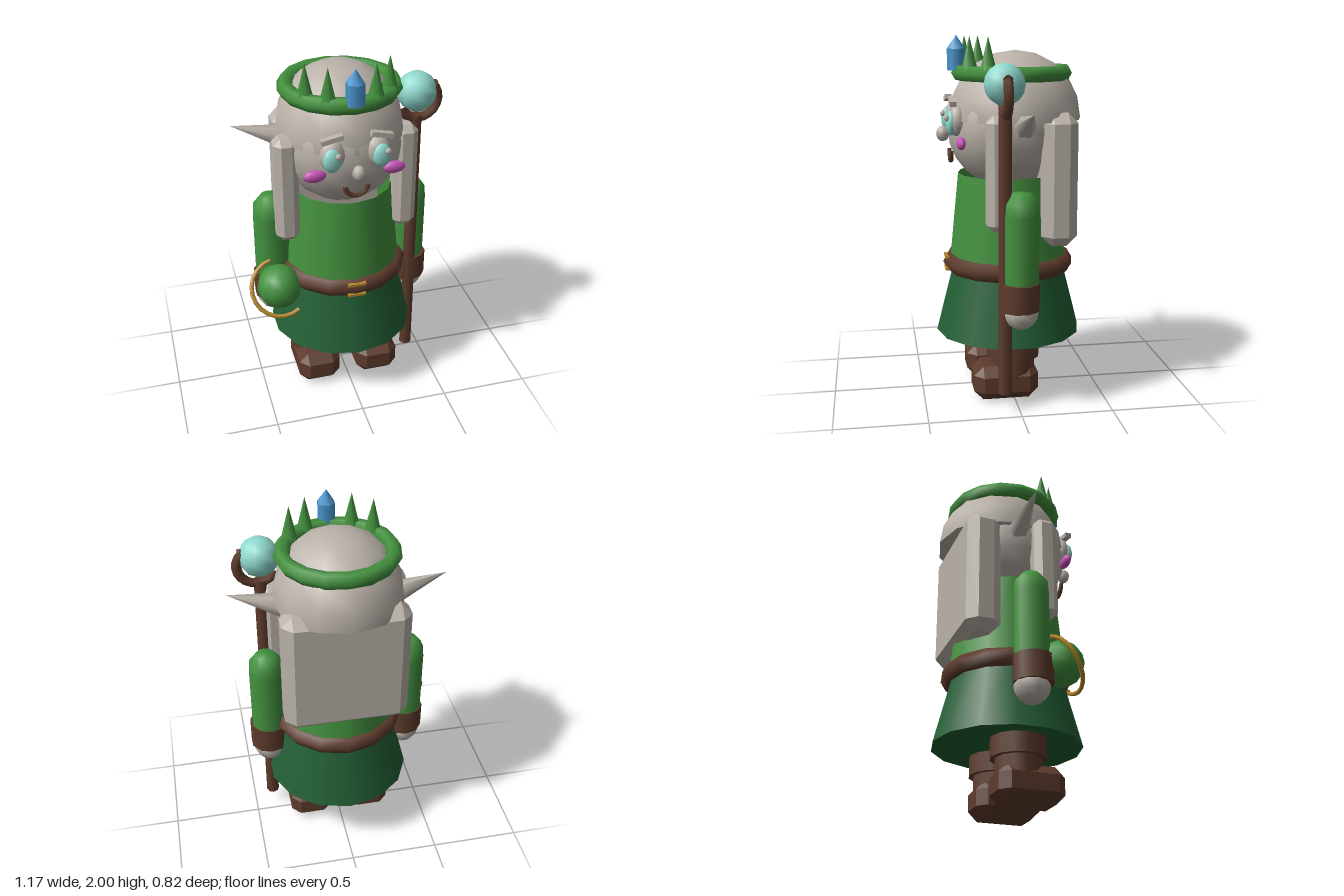
import * as THREE from 'three';
import { ConvexGeometry } from 'three/addons/geometries/ConvexGeometry.js';

const mat = (name, color, side = THREE.FrontSide) => {
  const m = new THREE.MeshStandardMaterial({ color, side });
  m.name = name;
  return m;
};

// box with every edge cut off flat
function chamferBox(w, h, d, c) {
  const pts = [];
  for (const x of [-w / 2, w / 2]) for (const y of [-h / 2, h / 2]) for (const z of [-d / 2, d / 2]) {
    const ix = x - Math.sign(x) * c, iy = y - Math.sign(y) * c, iz = z - Math.sign(z) * c;
    pts.push(new THREE.Vector3(x, iy, iz), new THREE.Vector3(ix, y, iz), new THREE.Vector3(ix, iy, z));
  }
  return new ConvexGeometry(pts);
}

// horizontal ring that has a vertex at +z
function ring(R, r, sides, segments) {
  const g = new THREE.TorusGeometry(R, r, sides, segments);
  return g.rotateX(Math.PI / 2).rotateY(-Math.PI / 2);
}

export function createModel() {
  const root = new THREE.Group();
  root.name = 'forestElf';

  const leaf = mat('leafGreen', 0x44923f, THREE.DoubleSide);
  const forest = mat('forestGreen', 0x235f35);
  const brown = mat('leatherBrown', 0x5e3b2c);
  const pale = mat('paleGrey', 0xbbb3aa);
  const aqua = mat('aqua', 0x8fd8ce);
  const pink = mat('cheekPink', 0xc854b8);
  const blue = mat('gemBlue', 0x4a96cf);
  const gold = mat('gold', 0xb98a2c);

  const add = (name, geo, material, x = 0, y = 0, z = 0) => {
    const m = new THREE.Mesh(geo, material);
    m.name = name;
    m.position.set(x, y, z);
    root.add(m);
    return m;
  };
  const ball = (name, material, x, y, z, rx, ry = rx, rz = rx, seg = 12, rows = 8) => {
    const m = add(name, new THREE.SphereGeometry(1, seg, rows), material, x, y, z);
    m.scale.set(rx, ry, rz);
    return m;
  };

  // Robe and belt
  add('skirt', new THREE.CylinderGeometry(0.305, 0.41, 0.41, 14), forest, 0, 0.55, 0);
  add('tunic', new THREE.CylinderGeometry(0.28, 0.33, 0.5, 14, 1, true), leaf, 0, 1.0, 0);
  add('belt', ring(0.315, 0.055, 6, 14), brown, 0, 0.745, 0);
  for (const y of [0.776, 0.71]) add('buckle', new THREE.BoxGeometry(0.1, 0.014, 0.03), gold, 0, y, 0.345);

  // Head, hair cap and long hair
  ball('head', pale, 0, 1.5, 0, 0.335, 0.335, 0.335, 16, 12);
  const cap = new THREE.SphereGeometry(0.37, 12, 5, 0, Math.PI * 2, 0, Math.PI / 2);
  add('hairCap', cap, pale, 0, 1.55, -0.04).scale.x = 0.96;
  const capBase = new THREE.CircleGeometry(0.37, 12).rotateX(Math.PI / 2);
  add('hairCapBase', capBase, pale, 0, 1.55, -0.04).scale.x = 0.96;
  add('backHair', chamferBox(0.68, 0.72, 0.195, 0.055), pale, 0, 1.24, -0.237);

  // Nose and smile
  ball('nose', pale, 0, 1.47, 0.362, 0.036, 0.043, 0.038, 7, 6);
  const smile = new THREE.TorusGeometry(0.062, 0.013, 6, 10, Math.PI).rotateZ(Math.PI);
  add('mouth', smile, brown, 0, 1.382, 0.32);

  // Parts that come in pairs
  const sleeve = [[0.0975, 0.7], [0.0975, 1.08], [0.092, 1.15], [0.053, 1.2], [0, 1.205]]
    .map(([x, y]) => new THREE.Vector2(x, y));
  for (const s of [-1, 1]) {
    add('hairStrand', chamferBox(0.13, 0.61, 0.135, 0.036), pale, s * 0.328, 1.29, 0.098);

    const ear = new THREE.ConeGeometry(0.065, 0.3, 6);
    add('ear', ear, pale, s * 0.443, 1.575, -0.04).rotation.z = -s * 1.26;

    ball('eyeWhite', pale, s * 0.12, 1.55, 0.292, 0.068, 0.085, 0.05);
    ball('iris', aqua, s * 0.13, 1.54, 0.328, 0.05, 0.066, 0.03);
    ball('eyeGlint', pale, s * 0.13 + 0.027, 1.57, 0.352, 0.017, 0.017, 0.014, 8, 6);
    ball('cheek', pink, s * 0.212, 1.44, 0.283, 0.062, 0.034, 0.025);
    add('eyebrow', new THREE.BoxGeometry(0.115, 0.026, 0.035), pale, s * 0.13, 1.655, 0.32).rotation.z = -s * 0.2;

    add('sleeve', new THREE.LatheGeometry(sleeve, 10), leaf, s * 0.4, 0, -0.008);
    add('cuff', new THREE.CylinderGeometry(0.11, 0.11, 0.15, 10), brown, s * 0.4, 0.645, 0);
    ball('hand', pale, s * 0.4, 0.555, -0.008, 0.096, 0.096, 0.096, 10, 8);

    add('bootShaft', new THREE.CylinderGeometry(0.125, 0.125, 0.2, 12), brown, s * 0.175, 0.22, 0);
    add('bootTop', new THREE.CylinderGeometry(0.15, 0.15, 0.12, 12), brown, s * 0.175, 0.297, 0);
    add('foot', chamferBox(0.245, 0.195, 0.36, 0.052), brown, s * 0.175, 0.0975, 0.047);

    // Two crown spikes on each side
    for (const [x, z] of [[0.125, 0.225], [0.222, 0.138]]) {
      add('crownSpike', new THREE.ConeGeometry(0.045, 0.18, 6), leaf, s * x, 1.907, z);
    }
  }

  // Crown band and gem
  add('crownBand', ring(0.289, 0.045, 6, 16), leaf, 0, 1.8, -0.022);
  add('gemBody', new THREE.CylinderGeometry(0.05, 0.05, 0.115, 6), blue, 0, 1.87, 0.283);
  add('gemTip', new THREE.ConeGeometry(0.05, 0.073, 6), blue, 0, 1.964, 0.283);

  // Staff with hook and orb
  add('staff', new THREE.CylinderGeometry(0.035, 0.037, 1.53, 8), brown, 0.393, 0.86, 0.075);
  const hook = new THREE.TorusGeometry(0.105, 0.027, 6, 12, 3.7).rotateZ(3.45);
  add('staffHook', hook, brown, 0.408, 1.71, 0.075);
  const hookTip = new THREE.ConeGeometry(0.027, 0.05, 6);
  add('hookTip', hookTip, brown, 0.472, 1.805, 0.075).rotation.z = 0.85;
  ball('staffOrb', aqua, 0.393, 1.76, 0.078, 0.108, 0.108, 0.108, 10, 8);

  // Round pouch with a tilted gold loop
  ball('pouch', leaf, -0.395, 0.705, 0.155, 0.125);
  const loop = new THREE.TorusGeometry(0.162, 0.012, 6, 12, 3.5).rotateZ(1.8);
  add('pouchLoop', loop, gold, -0.392, 0.7, 0.165).rotation.x = -0.56;

  return root;
}
